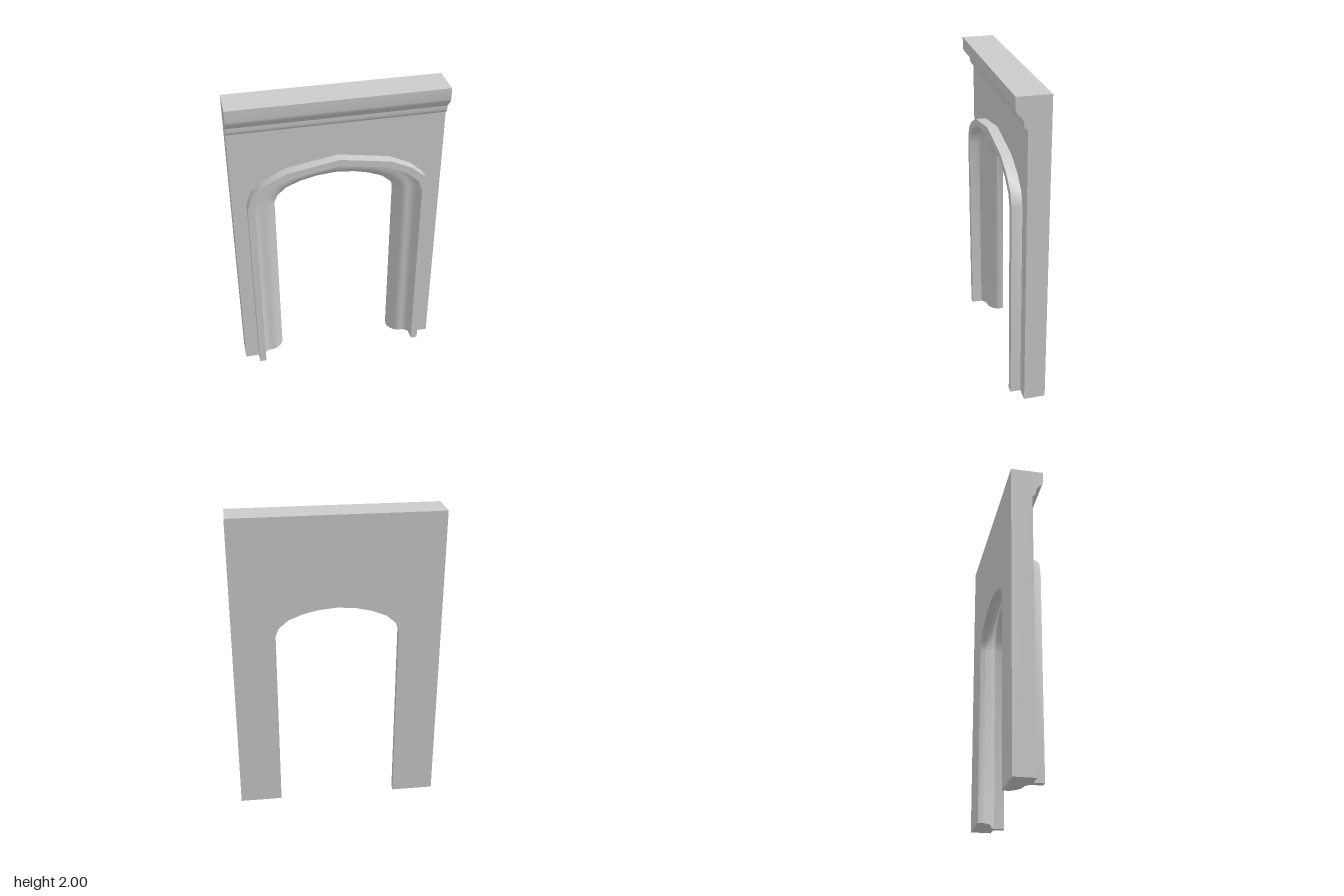
import * as THREE from 'three';
import { toCreasedNormals } from 'three/addons/utils/BufferGeometryUtils.js';

const HALF = 0.665, BACK = -0.103, FACE = 0.033, TOP = 2;

// Right half of the arch, from floor to apex: inner (opening) and outer (hood) lines
const INNER = [[0.39, 0], [0.39, 1.235], [0.37, 1.285], [0.31, 1.338], [0.22, 1.375], [0.12, 1.399], [0, 1.41]];
const OUTER = [[0.575, 0], [0.575, 1.31], [0.545, 1.4], [0.46, 1.475], [0.325, 1.54], [0.162, 1.568], [0, 1.595]];

// Moulding section: [0 = opening edge .. 1 = hood edge, z]
const SECTION = [
  [1, FACE], [1, 0.098], [0.757, 0.098], [0.757, 0.03], [0.68, 0.012], [0.58, 0.002], [0.46, -0.002],
  [0.36, -0.003], [0.24, -0.012], [0.12, -0.03], [0.04, -0.05], [0, -0.062], [0, BACK], [1, BACK],
];

// Full arch line, left floor to right floor, at offset t between inner and outer
function archLine(t) {
  const half = INNER.map(([x, y], i) => [x + (OUTER[i][0] - x) * t, y + (OUTER[i][1] - y) * t]);
  return [...half.map(([x, y]) => [-x, y]), ...half.slice(0, -1).reverse()];
}

// Skin the section along the arch
function mouldingGeometry() {
  const lines = SECTION.map(([t]) => archLine(t));
  const n = lines[0].length, pos = [], index = [];
  lines.forEach((line, j) => line.forEach(([x, y]) => pos.push(x, y, SECTION[j][1])));
  for (let j = 0; j < SECTION.length - 1; j++) {
    for (let i = 0; i < n - 1; i++) {
      const a = j * n + i, b = a + n;
      index.push(a, b, a + 1, b, b + 1, a + 1);
    }
  }
  const g = new THREE.BufferGeometry();
  g.setAttribute('position', new THREE.Float32BufferAttribute(pos, 3));
  g.setIndex(index);
  return toCreasedNormals(g, 0.6);
}

const toShape = (pts) => new THREE.Shape(pts.map(([x, y]) => new THREE.Vector2(x, y)));

export function createModel() {
  const group = new THREE.Group();
  const material = new THREE.MeshStandardMaterial({ color: 0xcccccc });
  const add = (name, geometry) => {
    const mesh = new THREE.Mesh(geometry, material);
    mesh.name = name;
    group.add(mesh);
  };

  // Wall slab, notched for the arch
  const wall = toShape([[-HALF, 0], ...archLine(1), [HALF, 0], [HALF, TOP], [-HALF, TOP]]);
  add('wall', new THREE.ExtrudeGeometry(wall, { depth: FACE - BACK, bevelEnabled: false }).translate(0, 0, BACK));

  // Arch moulding with hood, hollow, roll and reveal
  add('archMoulding', mouldingGeometry());

  // Feet of the two jambs
  for (const side of [1, -1]) {
    const foot = toShape(SECTION.map(([t, z]) => [side * (0.39 + 0.185 * t), z]));
    add(side > 0 ? 'leftJambFoot' : 'rightJambFoot', new THREE.ShapeGeometry(foot).rotateX(Math.PI / 2));
  }

  // Cornice: section in (z, y), run across the width
  const section = toShape([
    [FACE, 1.812], [0.043, 1.815], [0.051, 1.824], [0.055, 1.838], [0.055, 1.862], [0.062, 1.866],
    [0.068, 1.88], [0.08, 1.892], [0.093, 1.904], [0.101, 1.918], [0.103, 1.93], [0.103, TOP], [FACE, TOP],
  ]);
  const cornice = new THREE.ExtrudeGeometry(section, { depth: 2 * HALF, bevelEnabled: false });
  cornice.rotateY(-Math.PI / 2).translate(HALF, 0, 0);
  add('cornice', toCreasedNormals(cornice, 0.7));

  return group;
}
